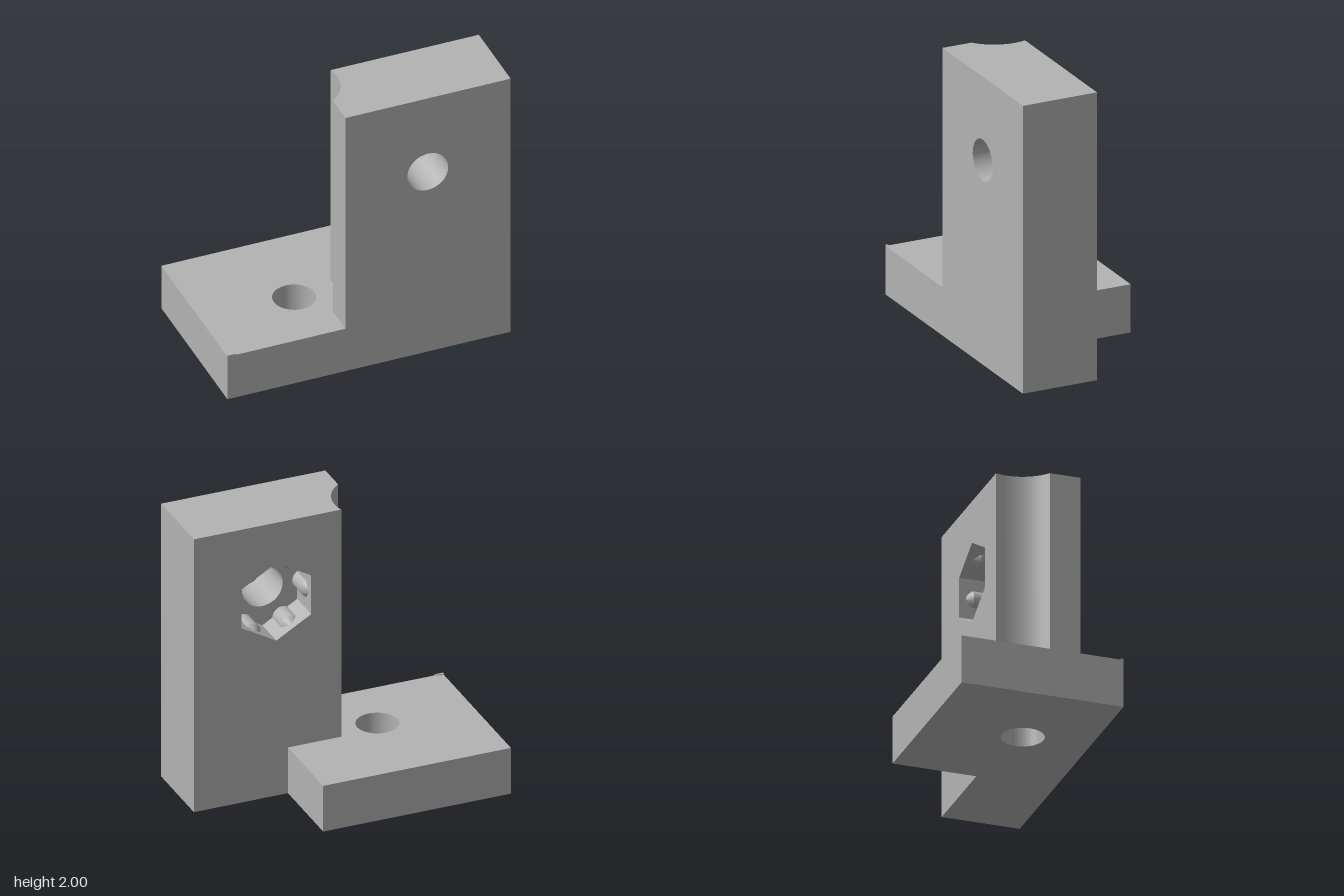
import * as THREE from 'three';
import { toCreasedNormals } from 'three/addons/utils/BufferGeometryUtils.js';

const X = 0.993, Z = 0.557;            // half extents
const BASE_H = 0.335, TOP = 2;
const BACK = 0.02, FLOOR = 0.25;       // back face of the wall, floor of the nut pocket
const EDGE = -0.165, SPLIT = -0.03;    // free edge of the wall, end of the scooped strip
const BORE = 0.143;
const boltX = -0.335, boltZ = 0.1;     // vertical bore
const nutX = 0.412, nutY = 1.42;       // horizontal bore
const APOTHEM = 0.246;

const polygon = (pts) => new THREE.Shape(pts.map(([x, y]) => new THREE.Vector2(x, y)));
const circle = (x, y, r) => new THREE.Path().absarc(x, y, r, 0, Math.PI * 2, true);

function extrude(shape, depth) {
  const g = new THREE.ExtrudeGeometry(shape, { depth, bevelEnabled: false, curveSegments: 48 });
  return toCreasedNormals(g, 0.5);
}

// Extrude a plan (drawn as x, -z) upwards from y0 to y1
const plan = (shape, y0, y1) => extrude(shape, y1 - y0).rotateX(-Math.PI / 2).translate(0, y0, 0);

// Extrude an elevation (x, y) from z0 to z1
const elevation = (shape, z0, z1) => extrude(shape, z1 - z0).translate(0, 0, z0);

export function createModel() {
  const group = new THREE.Group();
  const grey = new THREE.MeshStandardMaterial({ color: 0xb3b3b3 });
  const add = (name, geometry) => {
    const mesh = new THREE.Mesh(geometry, grey);
    mesh.name = name;
    group.add(mesh);
    return mesh;
  };

  // L-shaped foot with the vertical bolt hole
  const foot = polygon([[-X, -Z], [X, -Z], [X, -BACK], [0.33, -BACK], [0.33, Z], [-X, Z]]);
  foot.holes.push(circle(boltX, -boltZ, BORE));
  add('foot', plan(foot, 0, BASE_H));

  // Tiny raised sliver on the front corner of the foot
  add('cornerLip', plan(polygon([[-X, -Z], [-0.93, -Z], [-X, -0.535]]), BASE_H, BASE_H + 0.008));

  // Wall strip scooped out around the bolt hole
  const r = 0.3;
  const a0 = Math.asin((boltZ - BACK) / r);
  const a1 = -Math.acos((EDGE - boltX) / r);
  const strip = polygon([[EDGE, -Z], [SPLIT, -Z], [SPLIT, -BACK]]);
  strip.lineTo(boltX + r * Math.cos(a0), -BACK);
  strip.absarc(boltX, -boltZ, r, a0, a1, true);
  add('scoopedEdge', plan(strip, BASE_H, TOP));

  // Main wall in two layers: round bore in front, hexagonal nut pocket behind
  const wall = () => polygon([[SPLIT, BASE_H], [X, BASE_H], [X, TOP], [SPLIT, TOP]]);
  const front = wall();
  front.holes.push(circle(nutX, nutY, BORE));
  add('wallFront', elevation(front, FLOOR, Z));

  const back = wall();
  const hexR = APOTHEM / Math.cos(Math.PI / 6);
  const hex = [];
  for (let i = 0; i < 6; i++) {
    const a = Math.PI / 6 - i * Math.PI / 3;
    hex.push(new THREE.Vector2(nutX + hexR * Math.cos(a), nutY + hexR * Math.sin(a)));
  }
  back.holes.push(new THREE.Path(hex));
  add('wallBack', elevation(back, BACK, FLOOR));

  // Tapered grip ribs, one on each flat of the pocket
  const profile = [[0.03, 0.06], [0.069, 0.11], [0.069, FLOOR]].map(([x, y]) => new THREE.Vector2(x, y));
  const rib = toCreasedNormals(new THREE.LatheGeometry(profile, 32).rotateX(Math.PI / 2), 0.5);
  for (let i = 0; i < 6; i++) {
    const a = i * Math.PI / 3, d = APOTHEM + 0.034;
    add('pocketRib', rib).position.set(nutX + d * Math.cos(a), nutY + d * Math.sin(a), 0);
  }

  return group;
}
